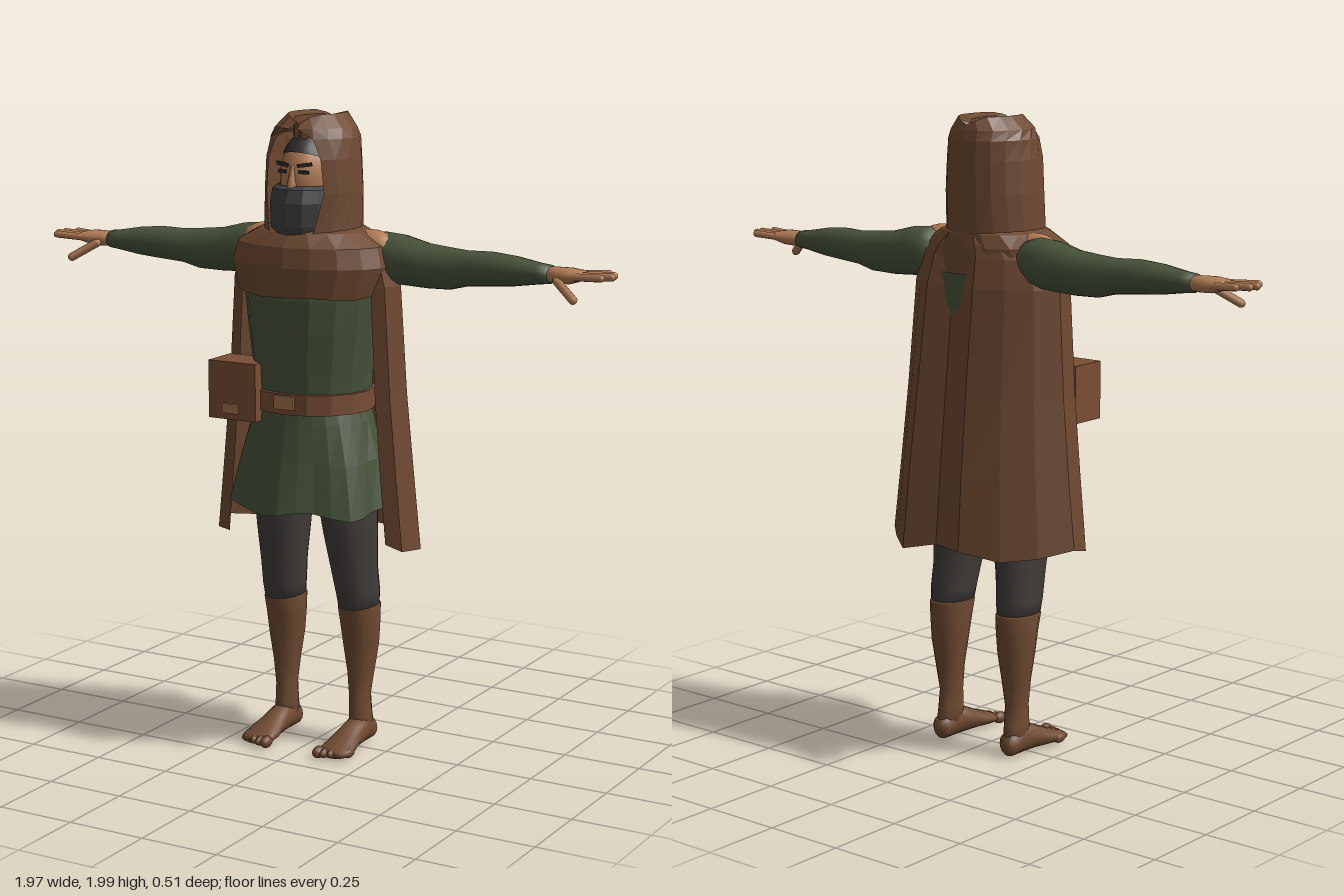
import * as THREE from 'three';

const paint = (name, color, side = THREE.FrontSide) => {
  const m = new THREE.MeshStandardMaterial({ color, side });
  m.name = name;
  return m;
};

// Skin a list of cross-sections; flat parts get unshared corners.
function skin(rings, { closed = true, caps = false, flat = false } = {}) {
  const n = rings[0].length, pos = rings.flat(2), idx = [];
  const at = (i, j) => i * n + (j % n);
  for (let i = 0; i < rings.length - 1; i++)
    for (let j = 0; j < (closed ? n : n - 1); j++)
      idx.push(at(i, j), at(i, j + 1), at(i + 1, j + 1), at(i, j), at(i + 1, j + 1), at(i + 1, j));
  if (caps) {
    for (const i of [0, rings.length - 1]) {
      const c = pos.length / 3;
      for (let k = 0; k < 3; k++) pos.push(rings[i].reduce((s, p) => s + p[k], 0) / n);
      for (let j = 0; j < n; j++)
        i ? idx.push(c, at(i, j), at(i, j + 1)) : idx.push(c, at(i, j + 1), at(i, j));
    }
  }
  let g = new THREE.BufferGeometry();
  g.setAttribute('position', new THREE.Float32BufferAttribute(pos, 3));
  g.setIndex(idx);
  if (flat) g = g.toNonIndexed();
  g.computeVertexNormals();
  return g;
}

// Elliptical loft along an axis; row = [position, centre1, centre2, radius1, radius2, fold].
function loft(axis, rows, n = 16, opts = { caps: true }) {
  return skin(rows.map(([t, c1, c2, r1, r2, fold = 0]) =>
    Array.from({ length: n }, (_, j) => {
      const a = (j / n) * Math.PI * 2, f = 1 + fold * Math.cos(7 * a);
      const s = Math.sin(a) * f, c = Math.cos(a) * f;
      if (axis === 'y') return [c1 + r1 * s, t + fold * 0.2 * Math.sin(5 * a), c2 + r2 * c];
      if (axis === 'x') return [t, c1 + r1 * c, c2 + r2 * s];
      return [c1 + r1 * c, c2 + r2 * s, t];
    })), opts);
}

const ball = (x, y, z, rx, ry, rz) =>
  new THREE.SphereGeometry(1, 20, 14).scale(rx, ry, rz).translate(x, y, z);

const box = (x, y, z, w, h, d) => new THREE.BoxGeometry(w, h, d).translate(x, y, z);

function finger(from, to, r) {
  const a = new THREE.Vector3(...from), b = new THREE.Vector3(...to), d = b.clone().sub(a);
  const q = new THREE.Quaternion().setFromUnitVectors(new THREE.Vector3(0, 1, 0), d.clone().normalize());
  return new THREE.CapsuleGeometry(r, d.length(), 4, 8).applyQuaternion(q)
    .translate(...a.add(b).multiplyScalar(0.5).toArray());
}

function mirrored(g) {
  const m = g.clone().scale(-1, 1, 1), ix = m.index.array;
  for (let i = 0; i < ix.length; i += 3) [ix[i], ix[i + 1]] = [ix[i + 1], ix[i]];
  return m;
}

export function createModel() {
  const model = new THREE.Group();
  model.name = 'hoodedArcher';
  const cloth = paint('cloak brown', 0x6f4a32, THREE.DoubleSide);
  const green = paint('tunic green', 0x48533a, THREE.DoubleSide);
  const boots = paint('boot brown', 0x704b32);
  const trousers = paint('trouser grey', 0x413d3a);
  const flesh = paint('skin', 0xb27c55);
  const leather = paint('belt leather', 0x7a4f36);
  const buckle = paint('buckle tan', 0xa87550);
  const maskGrey = paint('mask grey', 0x414042, THREE.DoubleSide);
  const hairDark = paint('hair dark', 0x302e2d);

  const add = (name, g, m) => {
    const mesh = new THREE.Mesh(g, m);
    mesh.name = name;
    model.add(mesh);
  };
  const pair = (name, g, m) => {
    add('left' + name, g, m);
    add('right' + name, mirrored(g), m);
  };

  // Legs and feet
  pair('Thigh', loft('y', [
    [0.44, 0.134, -0.032, 0.058, 0.078], [0.5, 0.133, -0.025, 0.064, 0.085],
    [0.58, 0.127, -0.012, 0.068, 0.09], [0.7, 0.12, 0, 0.08, 0.103],
    [0.8, 0.115, 0.01, 0.088, 0.11], [0.92, 0.1, 0.01, 0.09, 0.115]]), trousers);
  pair('Boot', loft('y', [
    [0.04, 0.137, -0.045, 0.036, 0.05], [0.1, 0.135, -0.04, 0.032, 0.05],
    [0.16, 0.134, -0.038, 0.031, 0.045], [0.24, 0.135, -0.042, 0.041, 0.052],
    [0.33, 0.135, -0.042, 0.055, 0.065], [0.4, 0.134, -0.038, 0.061, 0.073],
    [0.455, 0.134, -0.032, 0.063, 0.083], [0.46, 0.134, -0.032, 0.06, 0.079]]), boots);
  pair('Foot', loft('z', [
    [-0.1, 0.137, 0.035, 0.018, 0.02], [-0.085, 0.137, 0.04, 0.034, 0.038],
    [-0.03, 0.137, 0.052, 0.037, 0.05], [0.03, 0.137, 0.042, 0.041, 0.04],
    [0.09, 0.139, 0.028, 0.052, 0.027], [0.14, 0.139, 0.02, 0.054, 0.018],
    [0.16, 0.139, 0.018, 0.045, 0.012]]), boots);
  for (let i = 0; i < 5; i++)
    pair('Toe' + (i + 1), ball(0.095 + i * 0.022, 0.019, 0.158 - i * i * 0.0025,
      i ? 0.012 : 0.017, i ? 0.015 : 0.019, 0.026), boots);

  // Tunic, skirt and belt
  const open = { flat: true };
  add('tunic', loft('y', [
    [1.08, 0, 0.02, 0.18, 0.168], [1.2, 0, 0.025, 0.188, 0.172],
    [1.34, 0, 0.028, 0.205, 0.178], [1.44, 0, 0.025, 0.218, 0.182],
    [1.52, 0, 0.02, 0.23, 0.175]], 16, open), green);
  add('skirt', loft('y', [
    [0.785, 0, 0.035, 0.26, 0.205, 0.06], [0.94, 0, 0.028, 0.228, 0.185, 0.035],
    [1.06, 0, 0.022, 0.193, 0.172, 0.01], [1.1, 0, 0.02, 0.18, 0.168]], 28, open), green);
  add('belt', loft('y', [
    [1.088, 0, 0.02, 0.18, 0.17], [1.09, 0, 0.02, 0.19, 0.182],
    [1.153, 0, 0.02, 0.192, 0.183], [1.155, 0, 0.02, 0.18, 0.17]], 16, open), leather);
  add('beltBuckle', box(0, 1.128, 0.204, 0.068, 0.042, 0.009), buckle);
  add('pouch', box(-0.187, 1.145, 0.137, 0.168, 0.18, 0.126), leather);
  add('pouchClasp', box(-0.19, 1.09, 0.203, 0.058, 0.03, 0.009), buckle);

  // Shoulder mantle
  add('mantle', loft('y', [
    [1.45, 0, 0.035, 0.235, 0.18, 0.015], [1.54, 0, 0.035, 0.262, 0.18],
    [1.6, 0, 0.03, 0.245, 0.172], [1.64, 0, 0.02, 0.175, 0.155],
    [1.655, 0, 0.015, 0.13, 0.14]], 18, open), cloth);

  // Cloak: folded hem outline narrowing towards the shoulders
  const hem = [[0.28, 0.07], [0.33, 0.055], [0.35, -0.03], [0.29, -0.13], [0.22, -0.2],
    [0.15, -0.25], [0.05, -0.21], [-0.08, -0.258], [-0.2, -0.205], [-0.29, -0.13],
    [-0.35, -0.03], [-0.33, 0.055], [-0.28, 0.07]];
  const cloakRows = [[0.675, 1, 1, 0.015], [0.9, 0.93, 0.92, 0], [1.15, 0.86, 0.81, 0],
    [1.48, 0.8, 0.65, 0], [1.57, 0.73, 0.57, 0], [1.61, 0.6, 0.54, 0], [1.64, 0.42, 0.5, 0]];
  add('cloak', skin(cloakRows.map(([y, sx, sz, wave]) => hem.map(([x, z], j) =>
    [x * sx, y + wave * Math.cos(j * 1.9), z < 0 ? z * sz : z])), { closed: false, flat: true }), cloth);

  // Hood: open at the face, with a teardrop slit on top; row = [y, radiusX, front, back, half opening]
  const hoodRows = [[1.62, 0.15, 0.18, -0.135, 0.5], [1.76, 0.15, 0.17, -0.135, 0.72],
    [1.86, 0.143, 0.17, -0.135, 0.68], [1.92, 0.135, 0.155, -0.135, 0.5],
    [1.95, 0.12, 0.145, -0.13, 0.12], [1.99, 0.08, 0.115, -0.122, 0.06],
    [1.98, 0.06, 0.1, -0.1, 0.06], [1.93, 0.064, 0.105, -0.09, 0.05]];
  add('hood', skin(hoodRows.map(([y, rx, front, back, gap], i) =>
    Array.from({ length: 17 }, (_, j) => {
      const a = gap + (j / 16) * 2 * (Math.PI - gap);
      const pinch = i > 5 ? 0.65 + 0.35 * Math.cos(a) : 1;
      const notch = i > 4 ? 0.025 * Math.pow(Math.abs(Math.cos(a)), 12) : 0;
      return [rx * Math.sin(a) * pinch, y - notch, (front + back) / 2 + (front - back) / 2 * Math.cos(a)];
    })), { closed: false, flat: true }), cloth);

  // Head, hair and mask
  add('head', ball(0, 1.8, 0.035, 0.086, 0.135, 0.12), flesh);
  add('neck', loft('y', [[1.58, 0, 0, 0.07, 0.07], [1.75, 0, 0.01, 0.065, 0.07]]), flesh);
  add('hair', new THREE.SphereGeometry(1, 24, 10, 0, Math.PI * 2, 0, 1.27).rotateX(-0.3)
    .scale(0.091, 0.141, 0.125).translate(0, 1.8, 0.034), hairDark);
  add('nose', loft('y', [[1.77, 0, 0.145, 0.016, 0.024], [1.785, 0, 0.146, 0.015, 0.024],
    [1.84, 0, 0.14, 0.008, 0.012]], 8), flesh);
  pair('Brow', box(0, 0, 0, 0.046, 0.011, 0.009).rotateY(0.2).rotateZ(0.15)
    .translate(0.037, 1.843, 0.141), hairDark);
  pair('Eye', box(0, 0, 0, 0.032, 0.01, 0.008).rotateY(0.2).translate(0.036, 1.822, 0.145), hairDark);
  pair('Ear', ball(0.088, 1.8, 0.03, 0.012, 0.032, 0.02), flesh);
  add('faceMask', loft('y', [
    [1.61, 0, 0.055, 0.098, 0.115], [1.66, 0, 0.06, 0.106, 0.127],
    [1.73, 0, 0.06, 0.108, 0.128], [1.77, 0, 0.055, 0.104, 0.12],
    [1.78, 0, 0.05, 0.09, 0.108]], 14, open), maskGrey);

  // Arms and hands
  pair('Shoulder', ball(0.185, 1.58, -0.01, 0.088, 0.064, 0.055), flesh);
  pair('Sleeve', loft('x', [
    [0.17, 1.565, -0.035, 0.06, 0.06], [0.22, 1.56, -0.035, 0.077, 0.074],
    [0.28, 1.555, -0.035, 0.077, 0.074], [0.36, 1.543, -0.037, 0.069, 0.063],
    [0.44, 1.54, -0.035, 0.064, 0.058], [0.5, 1.545, -0.033, 0.054, 0.052],
    [0.58, 1.55, -0.027, 0.052, 0.056], [0.66, 1.55, -0.024, 0.045, 0.05],
    [0.74, 1.549, -0.022, 0.032, 0.039], [0.775, 1.549, -0.022, 0.028, 0.036]]), green);
  pair('Palm', loft('x', [
    [0.76, 1.549, -0.022, 0.022, 0.03], [0.8, 1.549, -0.02, 0.025, 0.036],
    [0.84, 1.55, -0.018, 0.024, 0.047], [0.875, 1.553, -0.018, 0.016, 0.049],
    [0.885, 1.554, -0.018, 0.01, 0.044]]), flesh);
  [[-0.056, 0.94, -0.066], [-0.031, 0.968, -0.036], [-0.005, 0.974, -0.006], [0.02, 0.955, 0.03]]
    .forEach(([z0, x1, z1], i) =>
      pair('Finger' + (i + 1), finger([0.87, 1.553, z0], [x1, 1.557, z1], 0.0115), flesh));
  pair('Thumb', finger([0.81, 1.537, 0.015], [0.88, 1.492, 0.055], 0.0135), flesh);

  return model;
}
